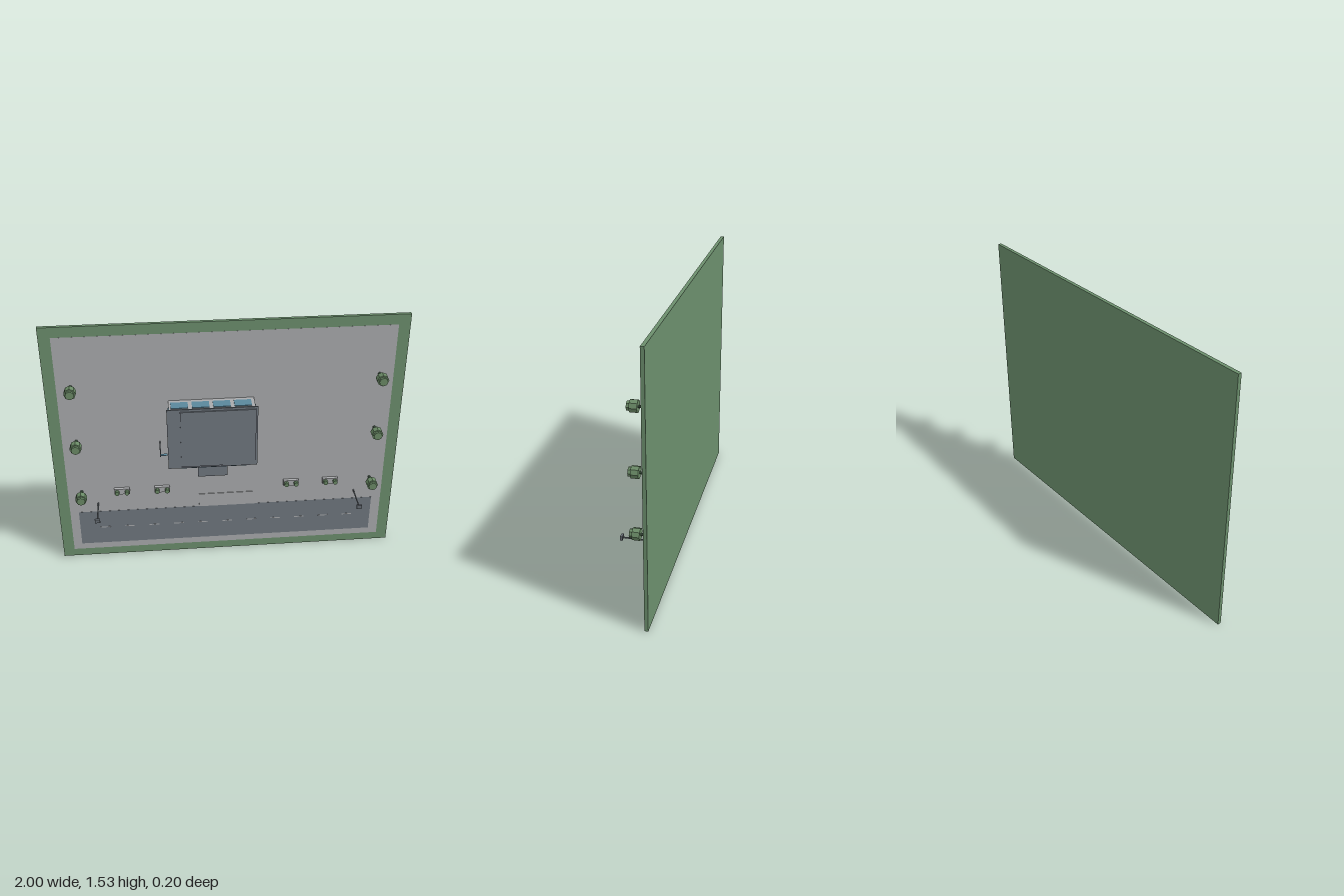
import * as THREE from 'three';

const mat = (name, color) => Object.assign(new THREE.MeshStandardMaterial({ color }), { name });

export function createModel() {
  const root = new THREE.Group();
  root.name = 'sitePlan';
  const grass = mat('grass green', 0x6c8f6d);
  const foliage = mat('foliage green', 0x6a8a66);
  const trunk = mat('trunk green', 0x4c6450);
  const concrete = mat('light concrete', 0xa9abad);
  const asphalt = mat('asphalt grey', 0x70777f);
  const glass = mat('blue glass', 0x5a879c);
  const metal = mat('lamp metal', 0x666c73);

  // box given by its limits on each axis
  const box = (name, m, x0, x1, y0, y1, z0, z1, parent = root) => {
    const mesh = new THREE.Mesh(new THREE.BoxGeometry(x1 - x0, y1 - y0, z1 - z0), m);
    mesh.position.set((x0 + x1) / 2, (y0 + y1) / 2, (z0 + z1) / 2);
    mesh.name = name;
    parent.add(mesh);
    return mesh;
  };
  // cylinder standing out from the ground along z
  const post = (name, m, x, y, r0, r1, z0, z1, sides, parent = root) => {
    const geo = new THREE.CylinderGeometry(r1, r0, z1 - z0, sides).rotateX(Math.PI / 2);
    const mesh = new THREE.Mesh(sides > 10 ? geo : geo.toNonIndexed(), m);
    if (sides <= 10) mesh.geometry.computeVertexNormals();
    mesh.position.set(x, y, (z0 + z1) / 2);
    mesh.name = name;
    parent.add(mesh);
    return mesh;
  };
  const group = (name) => {
    const g = new THREE.Group();
    g.name = name;
    root.add(g);
    return g;
  };

  // ground, paving, road and paths
  const G = -0.08;
  box('ground', grass, -1, 1, 0, 1.53, -0.1, G);
  box('paving', concrete, -0.935, 0.935, 0.05, 1.47, G - 0.002, G + 0.0005);
  box('road', asphalt, -0.885, 0.88, 0.09, 0.325, G - 0.002, G + 0.0015);
  for (let i = -5; i <= 5; i++) {
    const x = i * 0.147;
    box('roadDash', concrete, x - 0.03, x + 0.03, 0.204, 0.21, G, G + 0.0025);
  }
  box('walkway', concrete, -0.168, 0.165, 0.325, 0.415, G, G + 0.004);
  box('entranceStep', concrete, -0.166, -0.015, 0.585, 0.66, G, G + 0.005);

  // building
  const b = group('building');
  box('walls', concrete, -0.33, 0.15, 0.705, 1.06, G, 0.046, b);
  box('roof', asphalt, -0.343, 0.16, 0.695, 1.075, 0.046, 0.055, b);
  box('roofTop', asphalt, -0.27, 0.15, 0.707, 1.062, 0.055, 0.062, b);
  box('frontGlass', glass, -0.29, 0.108, 0.687, 0.706, G, 0.046, b);
  box('canopy', asphalt, -0.176, -0.008, 0.62, 0.706, 0.028, 0.038, b);
  for (let i = 0; i < 4; i++) {
    const x = -0.318 + i * 0.1175;
    box('rearWindow', glass, x, x + 0.096, 1.058, 1.064, -0.05, 0.015, b);
  }
  box('sideWindow', glass, 0.148, 0.154, 0.718, 1.05, -0.015, 0.045, b);
  box('sideWindow', glass, -0.334, -0.328, 0.718, 1.05, -0.015, 0.045, b);

  // flag beside the building
  const f = group('flag');
  post('flagPole', metal, -0.385, 0.797, 0.003, 0.003, G, 0.082, 8, f);
  box('flagCloth', glass, -0.384, -0.345, 0.7955, 0.7985, 0.055, 0.072, f);

  // trees and street lamps on both sides
  for (const s of [-1, 1]) {
    for (const y of [0.475, 0.825, 1.175]) {
      const t = group('tree');
      post('trunk', trunk, s * 0.855, y, 0.009, 0.007, G, -0.028, 8, t);
      post('lowerCrown', foliage, s * 0.855, y, 0.033, 0.033, -0.03, 0.01, 8, t);
      post('upperCrown', foliage, s * 0.855, y, 0.025, 0.025, 0.01, 0.025, 8, t);
    }
    const l = group('streetLamp');
    const x = s * 0.765;
    post('lampPole', metal, x, 0.385, 0.004, 0.004, G, 0.09, 8, l);
    box('lampHead', metal, x - 0.015, x + 0.015, 0.373, 0.397, 0.088, 0.1, l);
  }

  // planters with two shrubs each
  for (const x of [-0.62, -0.385, 0.38, 0.615]) {
    const p = group('planter');
    box('planterBox', concrete, x - 0.045, x + 0.045, 0.454, 0.49, G, -0.06, p);
    for (const d of [-0.029, 0.029]) post('shrub', foliage, x + d, 0.472, 0.014, 0.013, -0.06, -0.038, 10, p);
  }
  return root;
}
